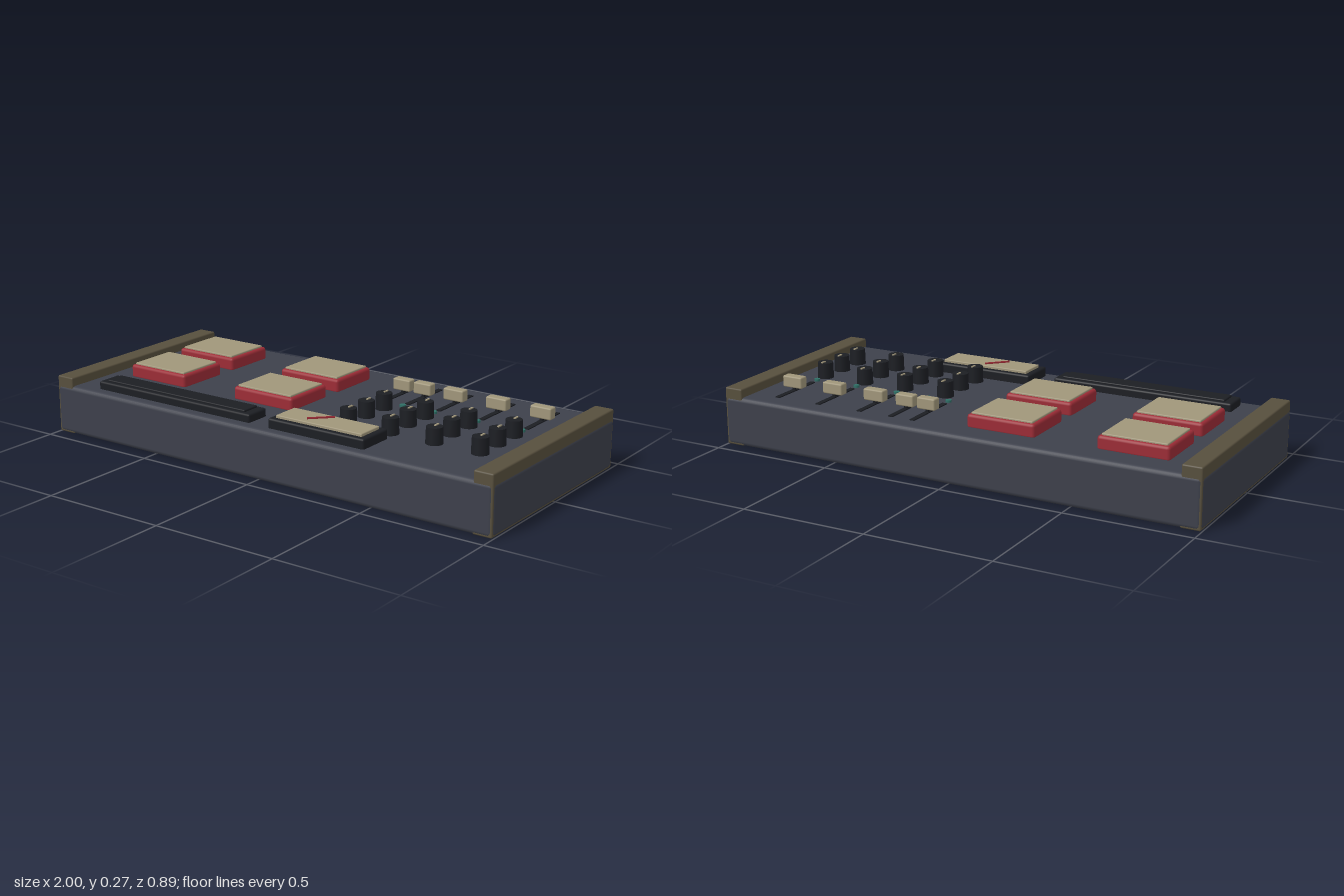
import * as THREE from 'three';
import { RoundedBoxGeometry } from 'three/addons/geometries/RoundedBoxGeometry.js';

const COLORS = {
  body: 0x3d404b, cheek: 0x574f3d, dark: 0x1c1e23, cream: 0xa0967a,
  red: 0x9c2c36, teal: 0x2f6f66,
};
const mats = {};
for (const k in COLORS) mats[k] = new THREE.MeshStandardMaterial({ color: COLORS[k] });

export function createModel() {
  const model = new THREE.Group();

  const add = (name, geometry, mat, x, y, z, parent = model) => {
    const m = new THREE.Mesh(geometry, mats[mat]);
    m.name = name;
    m.position.set(x, y, z);
    parent.add(m);
    return m;
  };
  // Box given by its size, centre x/z and bottom/top heights; r rounds the edges
  const block = (name, mat, w, d, y0, y1, x, z, r = 0, parent = model) => {
    const h = y1 - y0;
    const g = r ? new RoundedBoxGeometry(w, h, d, 2, r) : new THREE.BoxGeometry(w, h, d);
    return add(name, g, mat, x, (y0 + y1) / 2, z, parent);
  };
  const group = (name) => {
    const g = new THREE.Group();
    g.name = name;
    model.add(g);
    return g;
  };

  // Case: rounded body whose flat faces stand just proud of the end cheeks
  block('body', 'body', 2, 0.89, 0.001, 0.198, 0, 0, 0.018);
  block('bottomPlate', 'dark', 1.96, 0.854, 0, 0.012, 0, 0);
  for (const s of [-1, 1]) {
    block(s > 0 ? 'leftCheek' : 'rightCheek', 'cheek', 0.078, 0.886, 0.002, 0.233, s * 0.959, 0, 0.006);
  }

  // Four large pads: red base with cream cap
  for (const x of [-0.693, -0.165]) {
    for (const z of [-0.223, 0.078]) {
      const pad = group('pad');
      block('padBase', 'red', 0.28, 0.228, 0.19, 0.247, x, z, 0.012, pad);
      block('padCap', 'cream', 0.254, 0.204, 0.235, 0.254, x, z, 0.004, pad);
    }
  }

  // Touch strip
  const strip = group('touchStrip');
  block('stripBase', 'dark', 0.75, 0.106, 0.19, 0.23, -0.44, 0.347, 0.008, strip);
  block('stripTop', 'dark', 0.685, 0.078, 0.22, 0.238, -0.44, 0.347, 0.004, strip);

  // Level meter with needle
  const meter = group('meter');
  block('meterFrame', 'dark', 0.425, 0.155, 0.19, 0.236, 0.238, 0.328, 0.008, meter);
  block('meterFace', 'cream', 0.38, 0.114, 0.225, 0.247, 0.238, 0.328, 0.004, meter);
  const needle = block('meterNeedle', 'red', 0.102, 0.006, 0.245, 0.253, 0.206, 0.322, 0, meter);
  needle.rotation.y = Math.PI / 4;

  // Faders with indicator lamps
  const lampGeo = new THREE.CylinderGeometry(0.012, 0.012, 0.014, 16);
  for (const x of [0.19, 0.285, 0.425, 0.613, 0.802]) {
    const fader = group('fader');
    block('faderSlot', 'dark', 0.02, 0.24, 0.19, 0.202, x, -0.25, 0, fader);
    block('faderStem', 'dark', 0.012, 0.02, 0.19, 0.225, x, -0.252, 0, fader);
    block('faderCap', 'cream', x < 0.3 ? 0.078 : 0.088, 0.04, 0.212, 0.258, x, -0.252, 0.006, fader);
    add('lamp', lampGeo, 'teal', x, 0.2, -0.1, fader);
  }

  // Rotary knobs with a pointer towards the back
  const knobGeo = new THREE.CylinderGeometry(0.031, 0.033, 0.067, 24);
  for (const x of [0.24, 0.425, 0.613, 0.802]) {
    for (const z of [-0.038, 0.08, 0.197]) {
      const knob = group('knob');
      add('knobBody', knobGeo, 'dark', x, 0.2285, z, knob);
      block('knobPointer', 'cream', 0.007, 0.024, 0.258, 0.266, x, z - 0.014, 0, knob);
    }
  }

  return model;
}
